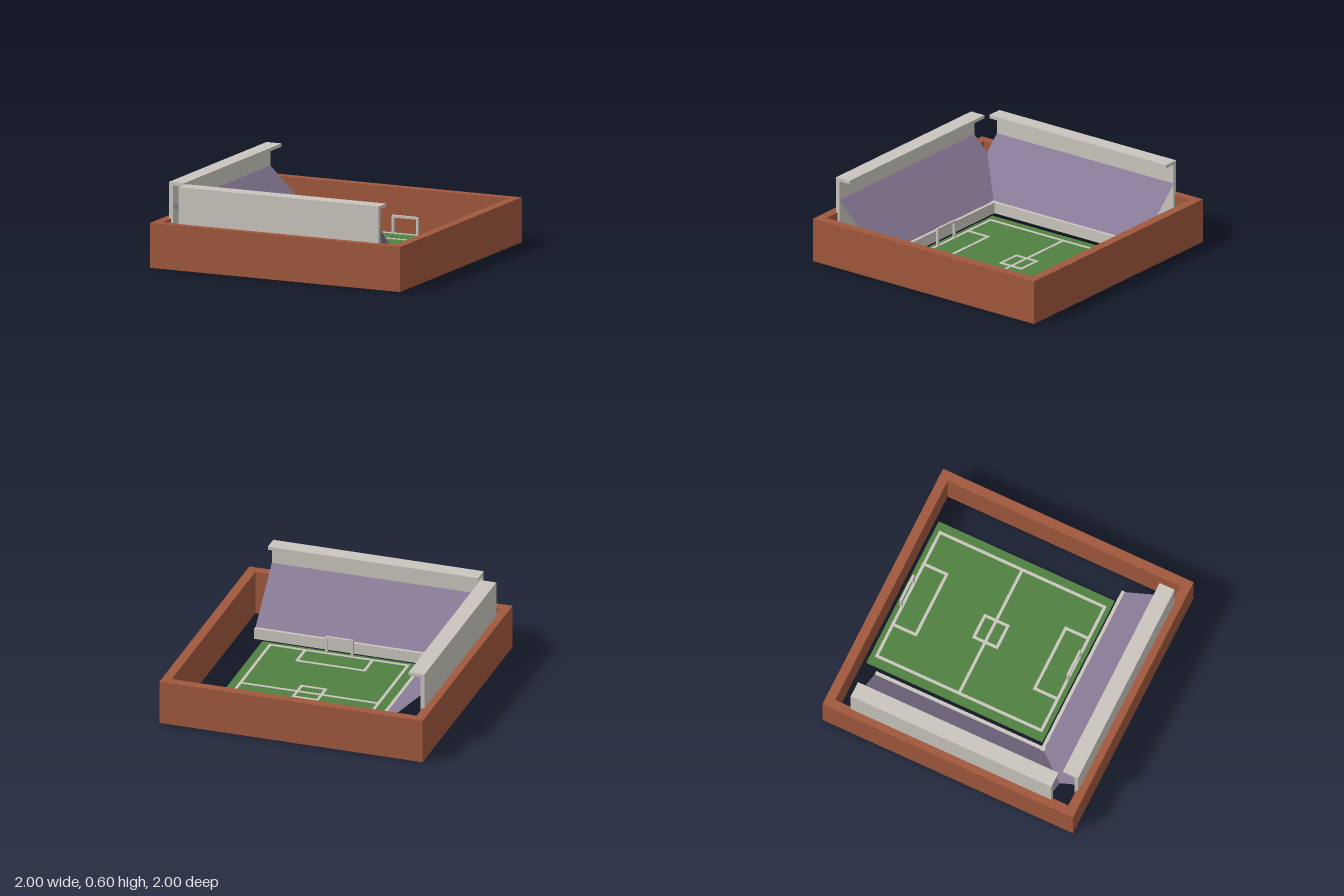
import * as THREE from 'three';

export function createModel() {
  const root = new THREE.Group();
  root.name = 'stadium';

  const mat = (name, color, side = THREE.FrontSide) => {
    const m = new THREE.MeshStandardMaterial({ color, side });
    m.name = name;
    return m;
  };
  const brick = mat('brick', 0xa0583d);
  const concrete = mat('concrete', 0xcac6be);
  const seating = mat('purple seating', 0x887b97, THREE.DoubleSide);
  const grass = mat('grass', 0x508040);

  // Box given by its two extreme corners
  const box = (parent, name, material, [x0, y0, z0], [x1, y1, z1]) => {
    const mesh = new THREE.Mesh(new THREE.BoxGeometry(x1 - x0, y1 - y0, z1 - z0), material);
    mesh.position.set((x0 + x1) / 2, (y0 + y1) / 2, (z0 + z1) / 2);
    mesh.name = name;
    parent.add(mesh);
    return mesh;
  };
  const group = (name) => {
    const g = new THREE.Group();
    g.name = name;
    root.add(g);
    return g;
  };

  // Perimeter wall: a square ring standing on the ground
  const outline = (r) => [[-r, -r], [r, -r], [r, r], [-r, r]].map(([x, y]) => new THREE.Vector2(x, y));
  const ring = new THREE.Shape(outline(1));
  ring.holes.push(new THREE.Path(outline(0.93)));
  const wallGeo = new THREE.ExtrudeGeometry(ring, { depth: 0.33, bevelEnabled: false });
  wallGeo.rotateX(-Math.PI / 2);
  const wall = new THREE.Mesh(wallGeo, brick);
  wall.name = 'perimeterWall';
  root.add(wall);

  // Stand: back wall, roof lip, low front wall and a thin sloping seat bank
  const makeStand = (name, angle) => {
    const g = group(name);
    const low = [0.08, 0.55], high = [0.43, 0.915];
    box(g, 'backWall', concrete, [-0.8, 0.002, 0.915], [0.8, 0.6, 0.945]);
    box(g, 'roofLip', concrete, [-0.8, 0.575, 0.825], [0.8, 0.6, 0.915]);
    box(g, 'lowFrontWall', concrete, [-0.8, 0.002, 0.523], [0.8, 0.085, 0.548]);
    const dy = high[0] - low[0], dz = high[1] - low[1];
    const bankGeo = new THREE.PlaneGeometry(1.6, Math.hypot(dy, dz));
    bankGeo.rotateX(Math.atan2(dz, dy) + Math.PI);
    bankGeo.translate(0, (low[0] + high[0]) / 2, (low[1] + high[1]) / 2);
    const bank = new THREE.Mesh(bankGeo, seating);
    bank.name = 'seatBank';
    g.add(bank);
    g.rotation.y = angle;
  };
  makeStand('frontStand', 0);
  makeStand('sideStand', -Math.PI / 2);

  // Pitch
  box(root, 'pitch', grass, [-0.47, 0, -0.905], [0.73, 0.006, 0.5]);

  // Pitch markings as thin strips
  const marks = group('pitchMarkings');
  const w = 0.022, y0 = 0.006, y1 = 0.01;
  const strip = (x0, z0, x1, z1) => box(marks, 'line', concrete, [x0, y0, z0], [x1, y1, z1]);
  const rect = (x0, z0, x1, z1) => {
    strip(x0, z0, x1, z0 + w);
    strip(x0, z1 - w, x1, z1);
    strip(x0, z0 + w, x0 + w, z1 - w);
    strip(x1 - w, z0 + w, x1, z1 - w);
  };
  rect(-0.403, -0.87, 0.667, 0.467);
  rect(0.03, -0.303, 0.235, -0.097);
  strip(-0.381, -0.213, 0.03, -0.191);
  strip(0.235, -0.213, 0.645, -0.191);
  strip(0.052, -0.213, 0.213, -0.191);
  // Penalty areas, open towards the goal lines
  for (const [zGoal, zFar] of [[-0.848, -0.665], [0.445, 0.262]]) {
    const s = Math.sign(zFar - zGoal);
    const [a, b] = [zGoal, zFar - s * w].sort((p, q) => p - q);
    const [c, d] = [zFar - s * w, zFar].sort((p, q) => p - q);
    strip(-0.135, a, -0.135 + w, b);
    strip(0.4 - w, a, 0.4, b);
    strip(-0.135, c, 0.4, d);
  }

  // Goals: two posts and a crossbar
  for (const z of [-0.868, 0.462]) {
    const g = group('goal');
    const t = 0.018, h = 0.14, x0 = 0.025, x1 = 0.238, z0 = z - t / 2, z1 = z + t / 2;
    box(g, 'post', concrete, [x0, 0.004, z0], [x0 + t, h - t, z1]);
    box(g, 'post', concrete, [x1 - t, 0.004, z0], [x1, h - t, z1]);
    box(g, 'crossbar', concrete, [x0, h - t, z0], [x1, h, z1]);
  }

  return root;
}
